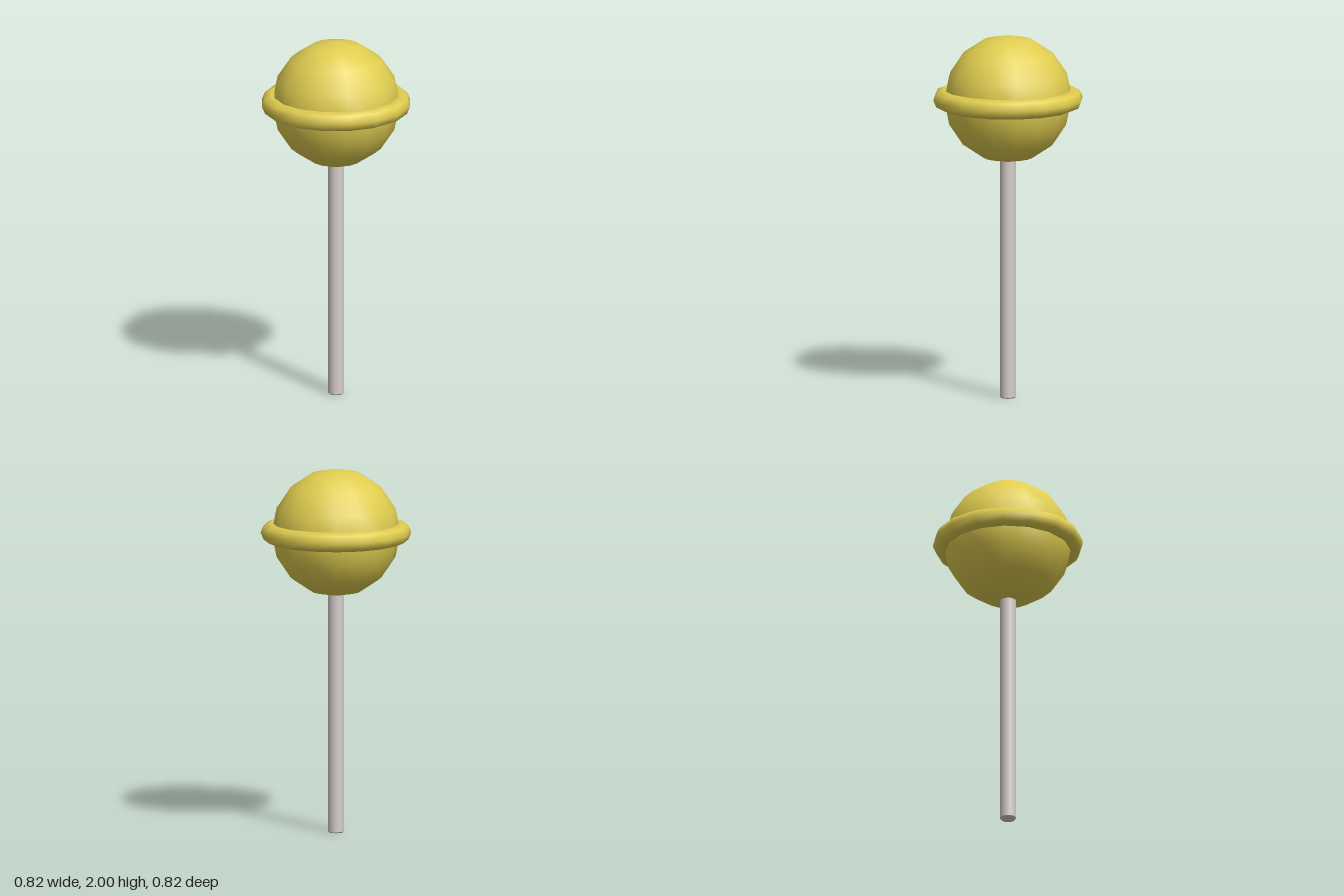
import * as THREE from 'three';

export function createModel() {
  const group = new THREE.Group();
  const candyYellow = new THREE.MeshStandardMaterial({ color: 0xe0cd50 });
  candyYellow.name = 'candyYellow';
  const stickGrey = new THREE.MeshStandardMaterial({ color: 0xd6cdc9 });
  stickGrey.name = 'stickGrey';

  const add = (name, geometry, material, y) => {
    const mesh = new THREE.Mesh(geometry, material);
    mesh.name = name;
    mesh.position.y = y;
    group.add(mesh);
  };

  // Round candy
  add('candyBall', new THREE.SphereGeometry(0.35, 16, 8), candyYellow, 1.65);

  // Rim around the middle of the candy
  const rim = new THREE.TorusGeometry(0.356, 0.054, 8, 16).rotateX(-Math.PI / 2);
  add('candyRim', rim, candyYellow, 1.65);

  // Stick with a slightly bevelled foot, running up into the candy
  add('stick', new THREE.CylinderGeometry(0.044, 0.044, 1.394, 16, 1, true), stickGrey, 0.703);
  add('stickBevel', new THREE.CylinderGeometry(0.044, 0.039, 0.006, 16, 1, true), stickGrey, 0.003);
  add('stickEnd', new THREE.CircleGeometry(0.039, 16).rotateX(Math.PI / 2), stickGrey, 0);

  return group;
}
